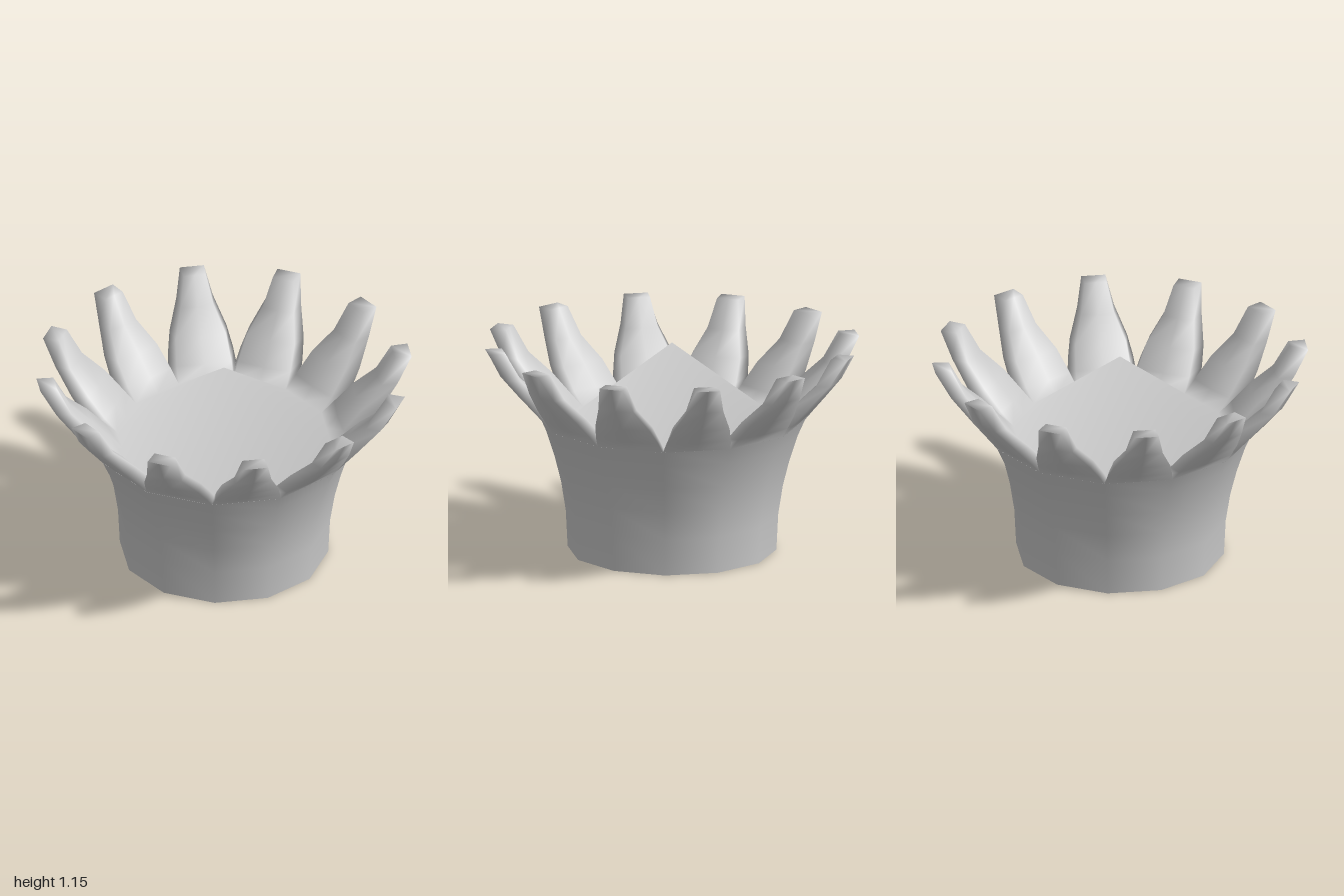
import * as THREE from 'three';

const SIDES = 12;
const material = new THREE.MeshStandardMaterial({ color: 0xcccccc, side: THREE.DoubleSide });

function addMesh(parent, name, geometry) {
  const mesh = new THREE.Mesh(geometry, material);
  mesh.name = name;
  parent.add(mesh);
  return mesh;
}

// Normals where the prongs meet the flared body and the inner cone
const bodyRimNormal = (x, z) => new THREE.Vector3(x, -0.44 * Math.hypot(x, z), z).normalize();
const innerNormal = (x, z) => new THREE.Vector3(-0.4 * x, 1, -0.4 * z).normalize();

// One tapering prong curving outwards and up along +z, from loops of six points
function prongGeometry() {
  // outer z, outer y, inner z, inner y, outer half width, inner half width, bulge
  const sections = [
    [0.695, 0.73, 0.56, 0.70, 0.186, 0.150, 0],
    [0.745, 0.79, 0.63, 0.77, 0.178, 0.150, 0.008],
    [0.823, 0.88, 0.73, 0.88, 0.156, 0.138, 0.012],
    [0.935, 1.01, 0.85, 1.00, 0.100, 0.090, 0.010],
    [1.017, 1.15, 0.926, 1.15, 0.066, 0.060, 0],
  ];
  const positions = [];
  const indices = [];
  for (const [oz, oy, iz, iy, ow, iw, b] of sections) {
    positions.push(
      -ow, oy, oz, 0, oy, oz + b, ow, oy, oz,
      iw, iy, iz, 0, iy, iz - b, -iw, iy, iz);
  }
  const tip = (sections.length - 1) * 6;
  for (let i = 0; i < tip; i += 6) {
    for (let j = 0; j < 6; j++) {
      const a = i + j;
      const b = i + (j + 1) % 6;
      indices.push(a, b, b + 6, a, b + 6, a + 6);
    }
  }
  // softly shaded tip
  for (let j = 1; j < 5; j++) indices.push(tip, tip + j, tip + j + 1);

  const geometry = new THREE.BufferGeometry();
  geometry.setAttribute('position', new THREE.Float32BufferAttribute(positions, 3));
  geometry.setIndex(indices);
  geometry.computeVertexNormals();

  // blend the foot into its neighbours: three outer points, then three inner
  const { position, normal } = geometry.attributes;
  for (let j = 0; j < 6; j++) {
    const rule = j < 3 ? bodyRimNormal : innerNormal;
    const n = rule(position.getX(j), position.getZ(j));
    normal.setXYZ(j, n.x, n.y, n.z);
  }
  return geometry;
}

export function createModel() {
  const group = new THREE.Group();
  group.name = 'crown';

  // Flared twelve-sided body
  const profile = [[0.565, 0], [0.575, 0.2], [0.6, 0.36], [0.635, 0.5], [0.68, 0.64], [0.72, 0.73]]
    .map(([r, y]) => new THREE.Vector2(r, y));
  addMesh(group, 'body', new THREE.LatheGeometry(profile, SIDES));

  // Flat bottom
  addMesh(group, 'base', new THREE.CircleGeometry(0.565, SIDES)).rotation.x = Math.PI / 2;

  // Pointed inner top, shaded softly into the prongs around it
  const cone = new THREE.ConeGeometry(0.58, 0.45, SIDES, 1, true);
  const { position, normal } = cone.attributes;
  for (let i = 0; i < position.count; i++) {
    const n = innerNormal(position.getX(i), position.getZ(i));
    normal.setXYZ(i, n.x, n.y, n.z);
  }
  addMesh(group, 'innerCone', cone).position.y = 0.925;

  // Ring of prongs, one on each side of the body
  const prong = prongGeometry();
  const ring = new THREE.Group();
  ring.name = 'prongs';
  for (let i = 0; i < SIDES; i++) {
    addMesh(ring, 'prong', prong).rotation.y = (i + 0.5) * Math.PI * 2 / SIDES;
  }
  group.add(ring);

  return group;
}
